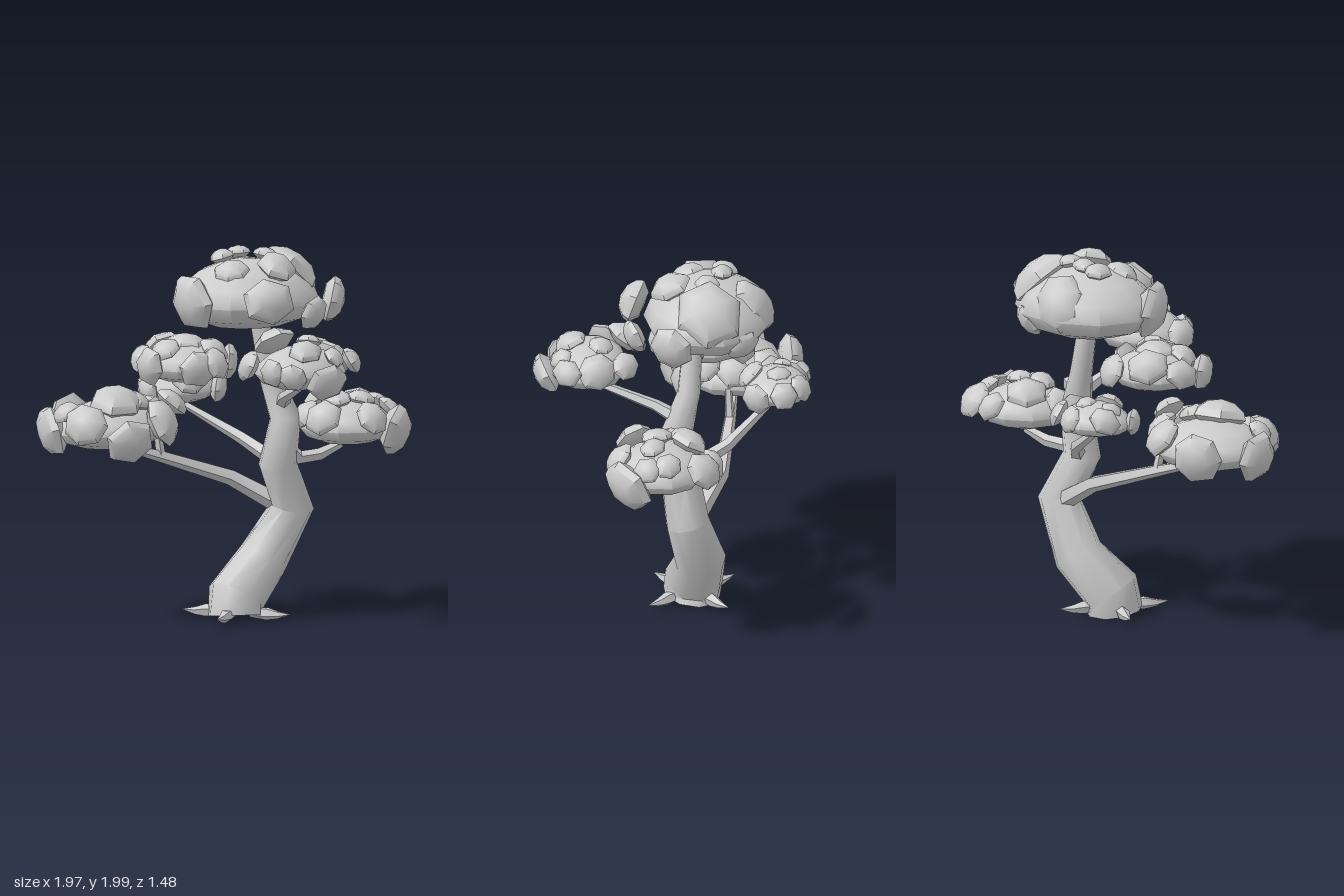
import * as THREE from 'three';
import { toCreasedNormals } from 'three/addons/utils/BufferGeometryUtils.js';

const material = new THREE.MeshStandardMaterial({ color: 0xcccccc });
const UP = new THREE.Vector3(0, 1, 0);

function addMesh(parent, name, geometry) {
  const mesh = new THREE.Mesh(geometry, material);
  mesh.name = name;
  parent.add(mesh);
  return mesh;
}

function lathe(profile, sides, crease) {
  const points = profile.map(([r, y]) => new THREE.Vector2(r, y));
  return toCreasedNormals(new THREE.LatheGeometry(points, sides), crease);
}

// Tapered limb through stations [x, y, z, radius], closed at both ends
function limb(stations, sides, crease) {
  const centers = stations.map(([x, y, z]) => new THREE.Vector3(x, y, z));
  const last = stations.length - 1;
  const overall = centers[last].clone().sub(centers[0]).normalize();
  const ref = Math.abs(overall.z) > 0.7 ? new THREE.Vector3(1, 0, 0) : new THREE.Vector3(0, 0, 1);
  const positions = [], index = [];
  const ring = (i, scale) => {
    const tangent = centers[Math.min(i + 1, last)].clone().sub(centers[Math.max(i - 1, 0)]).normalize();
    const u = new THREE.Vector3().crossVectors(ref, tangent).normalize();
    const v = new THREE.Vector3().crossVectors(tangent, u);
    for (let k = 0; k < sides; k++) {
      const a = (k / sides) * Math.PI * 2, r = stations[i][3] * scale;
      const p = centers[i].clone().addScaledVector(u, Math.cos(a) * r).addScaledVector(v, Math.sin(a) * r);
      positions.push(p.x, p.y, p.z);
    }
  };
  ring(0, 0);
  stations.forEach((s, i) => ring(i, 1));
  ring(last, 0);
  for (let j = 0; j < stations.length + 1; j++) {
    for (let k = 0; k < sides; k++) {
      const a = j * sides + k, b = j * sides + (k + 1) % sides;
      index.push(a, b, b + sides, a, b + sides, a + sides);
    }
  }
  const geometry = new THREE.BufferGeometry();
  geometry.setAttribute('position', new THREE.Float32BufferAttribute(positions, 3));
  geometry.setIndex(index);
  return toCreasedNormals(geometry, crease);
}

// Unit shapes: the low-slung body of a clump and the domed leaf pad
const bodyShape = lathe([[0, -1], [0.5, -0.94], [0.84, -0.7], [1, -0.28], [0.9, 0.2], [0.66, 0.6], [0.34, 0.86], [0, 0.93]], 10, 0.75);
const padShapes = [6, 7].map((sides) =>
  lathe([[0, -0.38], [0.6, -0.36], [1, -0.06], [0.9, 0.2], [0.52, 0.46], [0, 0.55]], sides, 0.7));

// Leaf clump: squashed body with pads [x, y, z, radius] facing outwards, upper ones tilted up
function addClump(parent, name, center, radii, pads) {
  const group = new THREE.Group();
  group.name = name;
  parent.add(group);
  const body = addMesh(group, 'clumpBody', bodyShape);
  body.position.set(...center);
  body.scale.set(...radii);
  pads.forEach(([x, y, z, r], i) => {
    const pad = addMesh(group, 'leafPad', padShapes[i % 2]);
    const out = new THREE.Vector3((x - center[0]) / radii[0], (y - center[1]) / radii[1], (z - center[2]) / radii[2]).normalize();
    if (y >= center[1]) out.y += 0.35;
    pad.position.set(x, y, z);
    pad.quaternion.setFromUnitVectors(UP, out.normalize());
    pad.rotateY(i * 1.7);
    pad.scale.set(r, r, r * (0.85 + 0.06 * (i % 3)));
  });
}

export function createModel() {
  const tree = new THREE.Group();
  tree.name = 'tree';

  // Bent trunk
  addMesh(tree, 'trunk', limb([
    [0.08, 0.02, -0.1, 0.155], [0.085, 0.12, -0.115, 0.158], [0.265, 0.31, -0.16, 0.138], [0.41, 0.59, -0.1, 0.118],
    [0.3, 0.83, -0.05, 0.105], [0.34, 1.08, -0.04, 0.086], [0.28, 1.29, -0.1, 0.062], [0.22, 1.62, -0.12, 0.052],
  ], 9, 0.9));

  // Root spikes, set diagonally around the foot
  for (let i = 0; i < 4; i++) {
    const a = ((i + 0.5) * Math.PI) / 2;
    const at = (d, y, r) => [0.08 + Math.cos(a) * d, y, -0.1 + Math.sin(a) * d, r];
    addMesh(tree, 'root', limb([at(0.08, 0.04, 0.025), at(0.17, 0.04, 0.036), at(0.23, 0.035, 0.022), at(0.3, 0.04, 0.003)], 5, 0.5));
  }

  // Branches
  const branches = {
    rightBranch: [[0.34, 0.61, -0.15, 0.055], [0.12, 0.745, -0.26, 0.045], [-0.28, 0.88, -0.28, 0.034], [-0.54, 0.96, -0.29, 0.02]],
    rightTwig: [[-0.28, 0.88, -0.28, 0.028], [-0.31, 1.05, -0.27, 0.02]],
    backBranch: [[0.31, 0.84, -0.08, 0.045], [0.2, 0.95, -0.3, 0.035], [-0.04, 1.12, -0.53, 0.02]],
    leftBranch: [[0.3, 0.97, -0.04, 0.05], [0.41, 0.86, -0.02, 0.04], [0.53, 0.87, -0.02, 0.034], [0.66, 0.92, -0.02, 0.022]],
    frontBranch: [[0.33, 1.15, -0.06, 0.045], [0.28, 1.21, 0.08, 0.034], [0.2, 1.31, 0.43, 0.02]],
  };
  for (const [name, stations] of Object.entries(branches)) addMesh(tree, name, limb(stations, 5, 0.5));

  // Leaf clumps
  addClump(tree, 'crown', [0.19, 1.75, -0.2], [0.4, 0.19, 0.35], [
    [0.13, 1.75, 0.2, 0.15], [0.4, 1.67, 0.18, 0.1], [-0.16, 1.72, -0.13, 0.16], [0.22, 1.78, -0.44, 0.17],
    [0.45, 1.83, -0.22, 0.2], [0.61, 1.7, -0.03, 0.13], [0.08, 1.93, -0.28, 0.08], [0.04, 1.88, -0.08, 0.1],
    [0.3, 1.94, -0.2, 0.07], [0.17, 1.95, -0.27, 0.07], [0.27, 1.9, 0, 0.12], [0.43, 1.65, -0.4, 0.1],
  ]);
  addClump(tree, 'leftClump', [0.68, 1.05, 0.02], [0.26, 0.12, 0.25], [
    [0.88, 1.01, 0.18, 0.16], [0.72, 1.09, 0.24, 0.1], [0.46, 1.1, 0.18, 0.11], [0.6, 1.17, 0.05, 0.09],
    [0.6, 1.15, -0.12, 0.12], [0.86, 1.1, -0.22, 0.11], [0.74, 1.09, -0.26, 0.09], [0.88, 1.13, -0.03, 0.08],
    [0.9, 1.11, 0.08, 0.08], [0.74, 1.17, 0.06, 0.08], [0.45, 1.09, -0.02, 0.1],
  ]);
  addClump(tree, 'rightClump', [-0.6, 1.08, -0.27], [0.32, 0.13, 0.29], [
    [-0.9, 1.05, -0.32, 0.15], [-0.82, 1.11, -0.08, 0.13], [-0.61, 1.02, 0.03, 0.14], [-0.38, 1.1, -0.06, 0.14],
    [-0.6, 1.2, -0.17, 0.16], [-0.68, 1.07, -0.57, 0.14], [-0.42, 1.13, -0.48, 0.12], [-0.87, 1.16, -0.22, 0.08],
    [-0.48, 1.2, -0.2, 0.1], [-0.28, 1.19, -0.15, 0.1], [-0.32, 1.14, -0.3, 0.1],
  ]);
  addClump(tree, 'backClump', [-0.05, 1.21, -0.55], [0.21, 0.09, 0.18], [
    [-0.17, 1.23, -0.66, 0.09], [0.03, 1.22, -0.68, 0.08], [0.14, 1.22, -0.6, 0.08], [0, 1.28, -0.56, 0.07],
    [-0.16, 1.27, -0.57, 0.06], [0.14, 1.2, -0.45, 0.09], [-0.25, 1.2, -0.5, 0.08], [-0.06, 1.25, -0.41, 0.09],
  ]);
  addClump(tree, 'middleClump', [-0.2, 1.41, -0.15], [0.24, 0.11, 0.24], [
    [-0.44, 1.4, -0.08, 0.11], [-0.34, 1.48, -0.1, 0.09], [-0.22, 1.39, 0.06, 0.11], [-0.13, 1.42, 0.09, 0.09],
    [-0.25, 1.46, -0.33, 0.12], [-0.05, 1.42, -0.36, 0.1], [-0.41, 1.42, -0.25, 0.1], [-0.2, 1.49, -0.15, 0.12],
    [-0.1, 1.48, 0, 0.09], [0.02, 1.4, -0.08, 0.1],
  ]);
  addClump(tree, 'frontClump', [0.2, 1.43, 0.44], [0.25, 0.12, 0.22], [
    [0.25, 1.37, 0.66, 0.13], [0.07, 1.4, 0.62, 0.08], [-0.01, 1.42, 0.53, 0.08], [-0.07, 1.44, 0.37, 0.1],
    [0.18, 1.52, 0.54, 0.1], [0.28, 1.55, 0.37, 0.07], [0.45, 1.46, 0.54, 0.09], [0.42, 1.46, 0.38, 0.11],
    [0.14, 1.54, 0.24, 0.12], [0.4, 1.49, 0.23, 0.09], [0.33, 1.49, 0.58, 0.07],
  ]);

  return tree;
}
